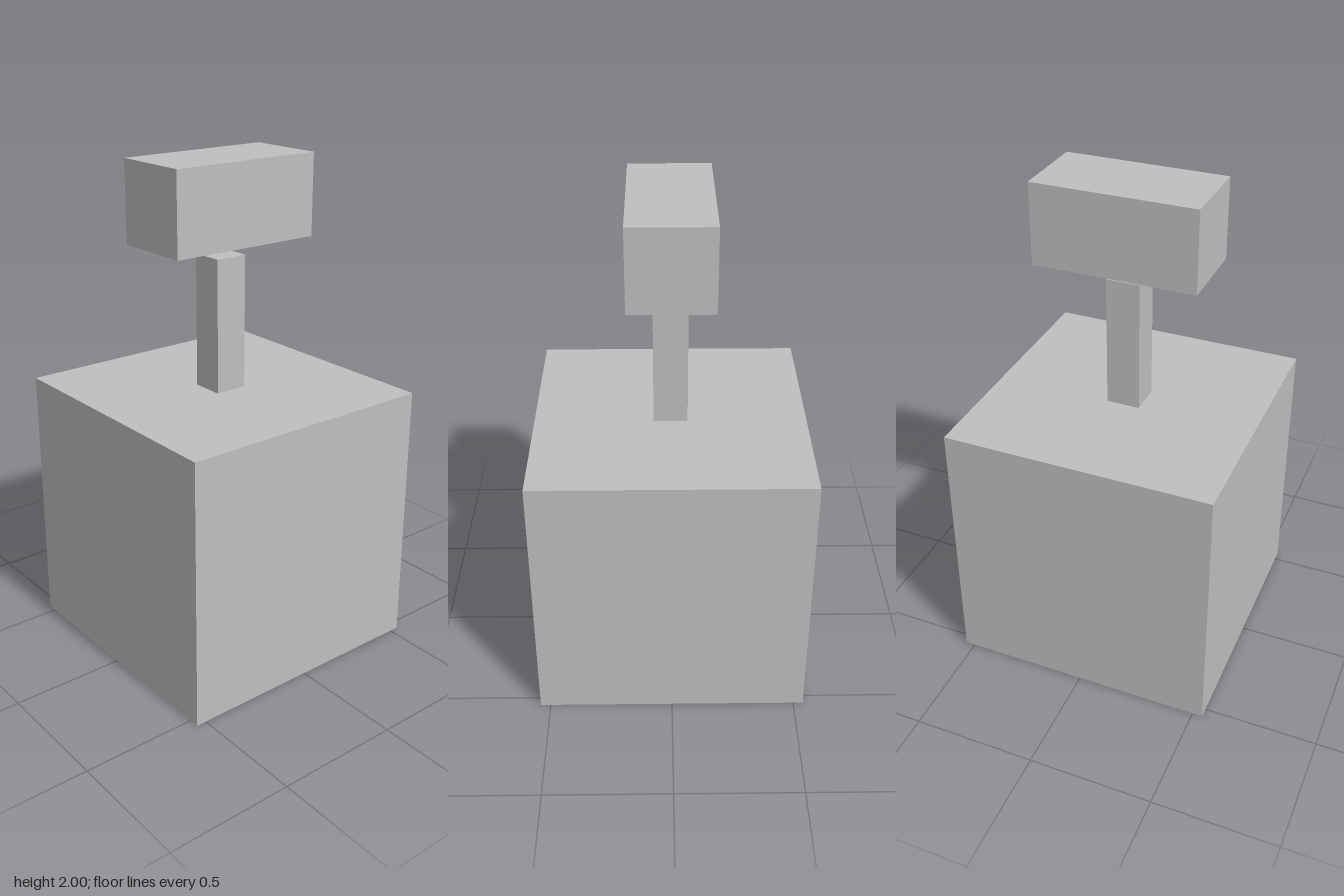
import * as THREE from 'three';

export function createModel() {
  const model = new THREE.Group();
  const grey = new THREE.MeshStandardMaterial({ color: 0xbfbfbf });
  grey.name = 'light grey';

  // Box standing on the given height, centred on the vertical axis
  const addBox = (name, width, height, depth, bottom) => {
    const mesh = new THREE.Mesh(new THREE.BoxGeometry(width, height, depth), grey);
    mesh.name = name;
    mesh.position.y = bottom + height / 2;
    model.add(mesh);
  };

  const u = 2 / 37; // module: the total height is 37 units

  addBox('base', 20 * u, 20 * u, 20 * u, 0);
  addBox('post', 2.5 * u, 10 * u, 2.5 * u, 20 * u);
  // The head floats one unit above the post
  addBox('head', 12 * u, 6 * u, 6 * u, 31 * u);

  return model;
}
